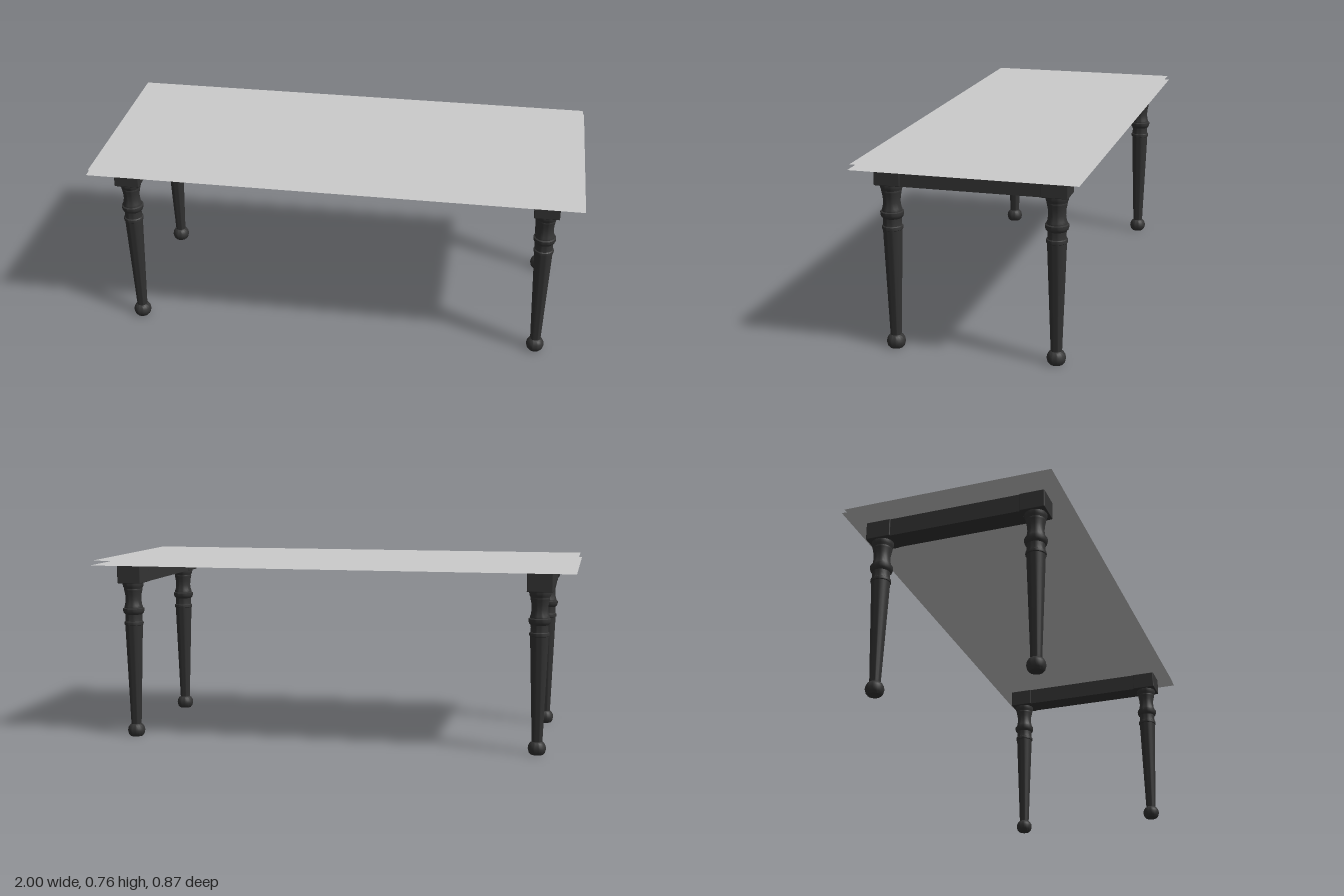
import * as THREE from 'three';
import { toCreasedNormals } from 'three/addons/utils/BufferGeometryUtils.js';
import { RoundedBoxGeometry } from 'three/addons/geometries/RoundedBoxGeometry.js';

const darkWood = new THREE.MeshStandardMaterial({ color: 0x343434 });
darkWood.name = 'dark wood';
const paleTop = new THREE.MeshStandardMaterial({ color: 0xcccccc, side: THREE.DoubleSide });
paleTop.name = 'pale top';

const LEG_X = 0.856, LEG_Z = 0.321;
const BLOCK_BOTTOM = 0.663, BLOCK_TOP = 0.739;

function addMesh(parent, name, geometry, material, x, y, z) {
  const mesh = new THREE.Mesh(geometry, material);
  mesh.name = name;
  mesh.position.set(x, y, z);
  parent.add(mesh);
  return mesh;
}

// Turned leg outline as [radius, height], foot to block
const legProfile = [
  [0, 0], [0.026, 0], [0.033, 0.008], [0.037, 0.024], [0.035, 0.036], [0.029, 0.047], [0.021, 0.053],
  [0.022, 0.06], [0.037, 0.482],
  [0.040, 0.484], [0.041, 0.490], [0.040, 0.496], [0.036, 0.499],
  [0.035, 0.515], [0.036, 0.528],
  [0.042, 0.534], [0.045, 0.543], [0.045, 0.553], [0.039, 0.556],
  [0.039, 0.562], [0.036, 0.568], [0.033, 0.590], [0.034, 0.610], [0.038, 0.630],
  [0.039, 0.635], [0.038, 0.638], [0.042, 0.646], [0.044, 0.655], [0.044, BLOCK_BOTTOM],
].map(([r, y]) => new THREE.Vector2(r, y));

export function createModel() {
  const table = new THREE.Group();
  table.name = 'table';

  // Tabletop: two thin open sheets, the lower one slightly larger
  const sheets = [['tabletopUpper', 1.985, 0.858, 0.762], ['tabletopLower', 2, 0.87, 0.742]];
  for (const [name, width, depth, y] of sheets) {
    const sheet = new THREE.PlaneGeometry(width, depth).rotateX(-Math.PI / 2);
    if (name === 'tabletopLower') sheet.rotateX(Math.PI);
    addMesh(table, name, sheet, paleTop, 0, y, 0);
  }

  // Legs with corner blocks, and one apron rail at each end
  const turned = toCreasedNormals(new THREE.LatheGeometry(legProfile, 32), 0.7);
  const height = BLOCK_TOP - BLOCK_BOTTOM, middle = (BLOCK_TOP + BLOCK_BOTTOM) / 2;
  const block = new RoundedBoxGeometry(0.102, height, 0.102, 2, 0.003);
  const rail = new THREE.BoxGeometry(0.092, height - 0.001, 2 * (LEG_Z - 0.05));
  for (const sx of [-1, 1]) {
    const end = new THREE.Group();
    end.name = sx > 0 ? 'leftEnd' : 'rightEnd';
    for (const sz of [-1, 1]) {
      const side = sz > 0 ? 'front' : 'back';
      addMesh(end, side + 'Leg', turned, darkWood, sx * LEG_X, 0, sz * LEG_Z);
      addMesh(end, side + 'Block', block, darkWood, sx * LEG_X, middle, sz * LEG_Z);
    }
    addMesh(end, 'apronRail', rail, darkWood, sx * LEG_X, middle, 0);
    table.add(end);
  }
  return table;
}
